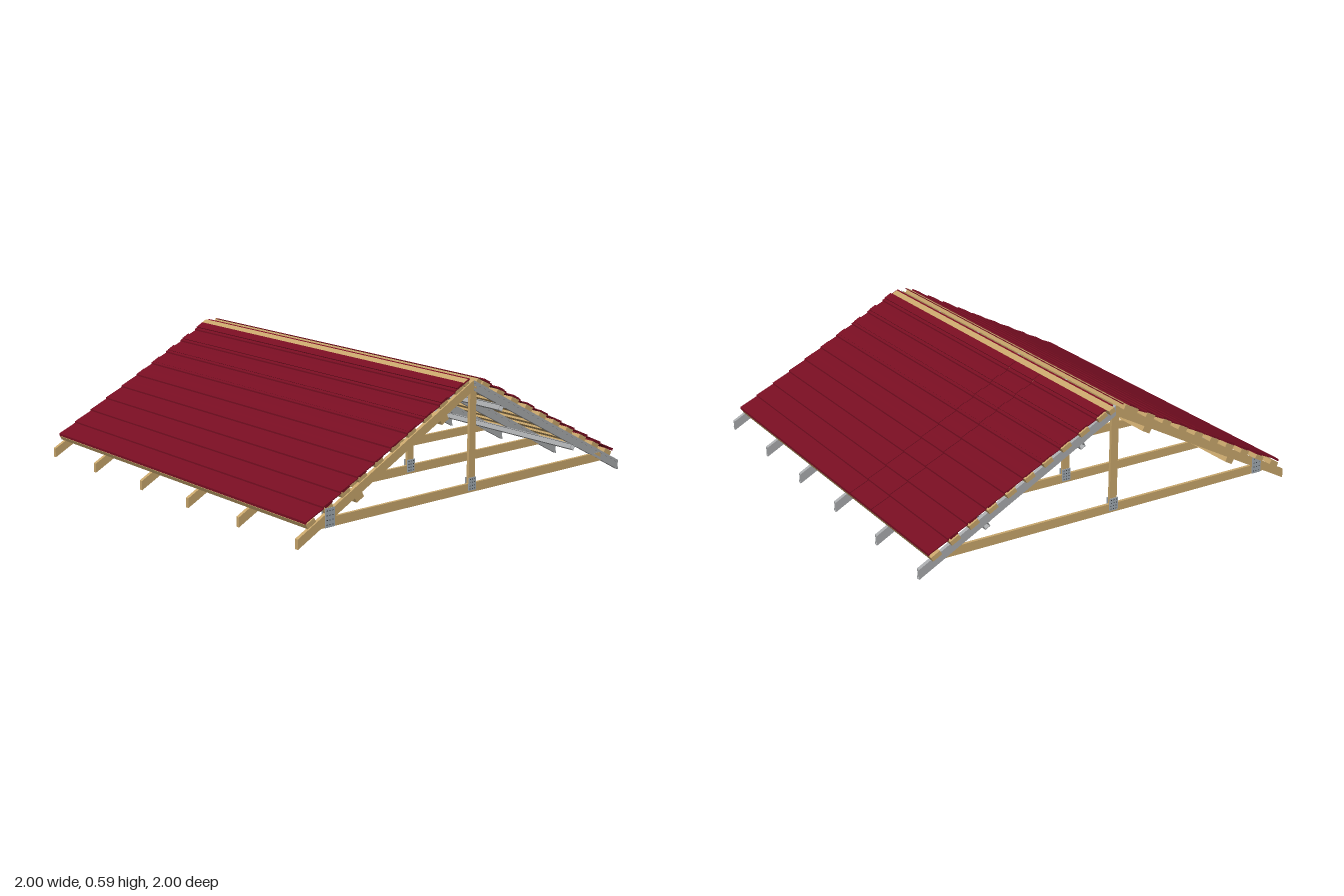
import * as THREE from 'three';

const mat = (name, color) => {
  const m = new THREE.MeshStandardMaterial({ color });
  m.name = name;
  return m;
};

const SLOPE = 0.535;                                   // rafter pitch
const ANGLE = Math.atan(SLOPE);
const rafterTop = x => 0.585 - SLOPE * Math.abs(x);
const TRUSS_Z = [0.985, 0.578, 0.198, -0.178, -0.582, -0.962];

export function createModel() {
  const root = new THREE.Group();
  root.name = 'gableRoof';
  const red = mat('redCladding', 0x780e22);
  const wood = mat('timber', 0xc9a76c);
  const steel = mat('galvanisedSteel', 0xa9abad);
  const plate = mat('nailPlateSteel', 0xa2abb3);
  const dark = mat('nailHoles', 0x3c4044);

  // Closed outline in x/y, extruded from z0 to z1
  const prism = (parent, name, pts, z0, z1, material) => {
    const shape = new THREE.Shape(pts.map(p => new THREE.Vector2(p[0], p[1])));
    const geo = new THREE.ExtrudeGeometry(shape, { depth: z1 - z0, bevelEnabled: false });
    geo.translate(0, 0, z0);
    const mesh = new THREE.Mesh(geo, material);
    mesh.name = name;
    parent.add(mesh);
    return mesh;
  };

  // Moves outline points lying along the slope of side s to a given place
  const tilt = (pts, cx, cy, s) => pts.map(([u, v]) => [
    s * (cx + u * Math.cos(ANGLE) + v * Math.sin(ANGLE)),
    cy - u * Math.sin(ANGLE) + v * Math.cos(ANGLE),
  ]);
  const rect = (w, h) => [[-w / 2, -h / 2], [w / 2, -h / 2], [w / 2, h / 2], [-w / 2, h / 2]];

  // Strip following the right rafter between two vertical offsets below its top
  const channelStrip = (a, b) => [
    [0, 0.585 - b], [1, 0.05 - b], [1, 0.05 - a], [0, 0.585 - a],
  ];

  // Perforated nail plate on both faces of a truss
  const addPlate = (parent, x, y, w, h, z) => {
    for (const side of [1, -1]) {
      const g = new THREE.Group();
      g.name = 'nailPlate';
      const sheet = new THREE.Mesh(new THREE.BoxGeometry(w, h, 0.003), plate);
      sheet.name = 'plateSheet';
      g.add(sheet);
      for (let i = 0; i < 3; i++) for (let j = 0; j < 4; j++) {
        const hole = new THREE.Mesh(new THREE.BoxGeometry(0.005, 0.004, 0.001), dark);
        hole.name = 'plateHole';
        hole.position.set((i - 1) * w * 0.3, (j - 1.5) * h * 0.24, side * 0.0018);
        g.add(hole);
      }
      g.position.set(x, y, z + side * 0.0105);
      parent.add(g);
    }
  };

  // Trusses: timber rafter on one side, steel channel on the other
  for (const z of TRUSS_Z) {
    const t = new THREE.Group();
    t.name = 'truss';
    const a = z - 0.009, b = z + 0.009;
    prism(t, 'timberRafter', [[-1, 0.005], [0, 0.538], [0, 0.585], [-1, 0.05]], a, b, wood);
    prism(t, 'bottomChord', [[-0.87, 0.07], [0.87, 0.07], [0.87, 0.112], [-0.87, 0.112]], a + 0.002, b - 0.002, wood);
    prism(t, 'kingPost', [[-0.019, 0.112], [0.019, 0.112], [0.019, 0.555], [-0.019, 0.555]], a + 0.002, b - 0.002, wood);
    prism(t, 'channelWeb', channelStrip(0, 0.047), a - 0.001, a + 0.002, steel);
    prism(t, 'channelTopFlange', channelStrip(0, 0.004), a, b, steel);
    prism(t, 'channelBottomFlange', channelStrip(0.043, 0.047), a, b, steel);
    prism(t, 'channelTopLip', channelStrip(0, 0.013), b - 0.002, b, steel);
    prism(t, 'channelBottomLip', channelStrip(0.034, 0.047), b - 0.002, b, steel);
    // channel face, set back so the lips stand proud
    prism(t, 'channelFace', channelStrip(0.012, 0.035), b - 0.006, b - 0.004, steel);
    addPlate(t, -0.83, 0.113, 0.052, 0.085, z);
    addPlate(t, 0, 0.11, 0.046, 0.06, z);
    root.add(t);
  }

  // Lengthwise bracing below the rafters
  const hat = [[-0.026, 0.012], [-0.026, 0.009], [-0.014, 0.009], [-0.014, -0.012], [0.014, -0.012],
    [0.014, 0.009], [0.026, 0.009], [0.026, 0.012], [0.011, 0.012], [0.011, -0.009], [-0.011, -0.009], [-0.011, 0.012]];
  for (const x of [0.175, 0.665]) {
    const y = rafterTop(x) - 0.06;
    prism(root, 'timberBrace', tilt(rect(0.045, 0.024), x, y, -1), -0.97, 0.993, wood);
    prism(root, 'steelBrace', tilt(hat, x, y, 1), -0.97, 0.993, steel);
  }

  // Purlins and overlapping cladding boards on both slopes
  const PITCH = 0.0935;
  for (const s of [-1, 1]) {
    const g = new THREE.Group();
    g.name = s > 0 ? 'leftSlope' : 'rightSlope';
    // the left slope is made of three lengths with fine joints
    const runs = s > 0 ? [[-0.98, -0.463], [-0.458, -0.256], [-0.251, 0.993]] : [[-0.985, 0.993]];
    for (let i = 0; i < 10; i++) {
      const x = 0.957 - PITCH * i, y = 0.112 + 0.0485 * i;
      const px = i === 0 ? 0.925 : x - 0.032;
      const py = rafterTop(px) + 0.013;
      prism(g, 'purlin', tilt(rect(0.05, 0.022), px, py, s), -0.99, 0.988, wood);
      const end = i === 9 ? 0.092 : 0.098;
      const board = [
        [x, y - 0.007], [x, y + 0.004], [x - end, y + 0.047], [x - end, y + 0.043],
        [x - 0.004, y], [x - 0.004, y - 0.007],
      ].map(p => [s * p[0], p[1]]);
      const clip = tilt(rect(0.042, 0.008), px, py + 0.016, s);
      for (const [z0, z1] of runs) {
        prism(g, 'claddingBoard', board, z0, z1, red);
        if (i > 0) prism(g, 'claddingFold', clip, z0, z1, red);
      }
    }
    // ridge purlin reaching past the gable
    prism(g, 'ridgePurlin', tilt(rect(0.03, 0.024), 0.04, rafterTop(0.04) + 0.012, s), -1, 0.988, wood);
    root.add(g);
  }
  return root;
}
